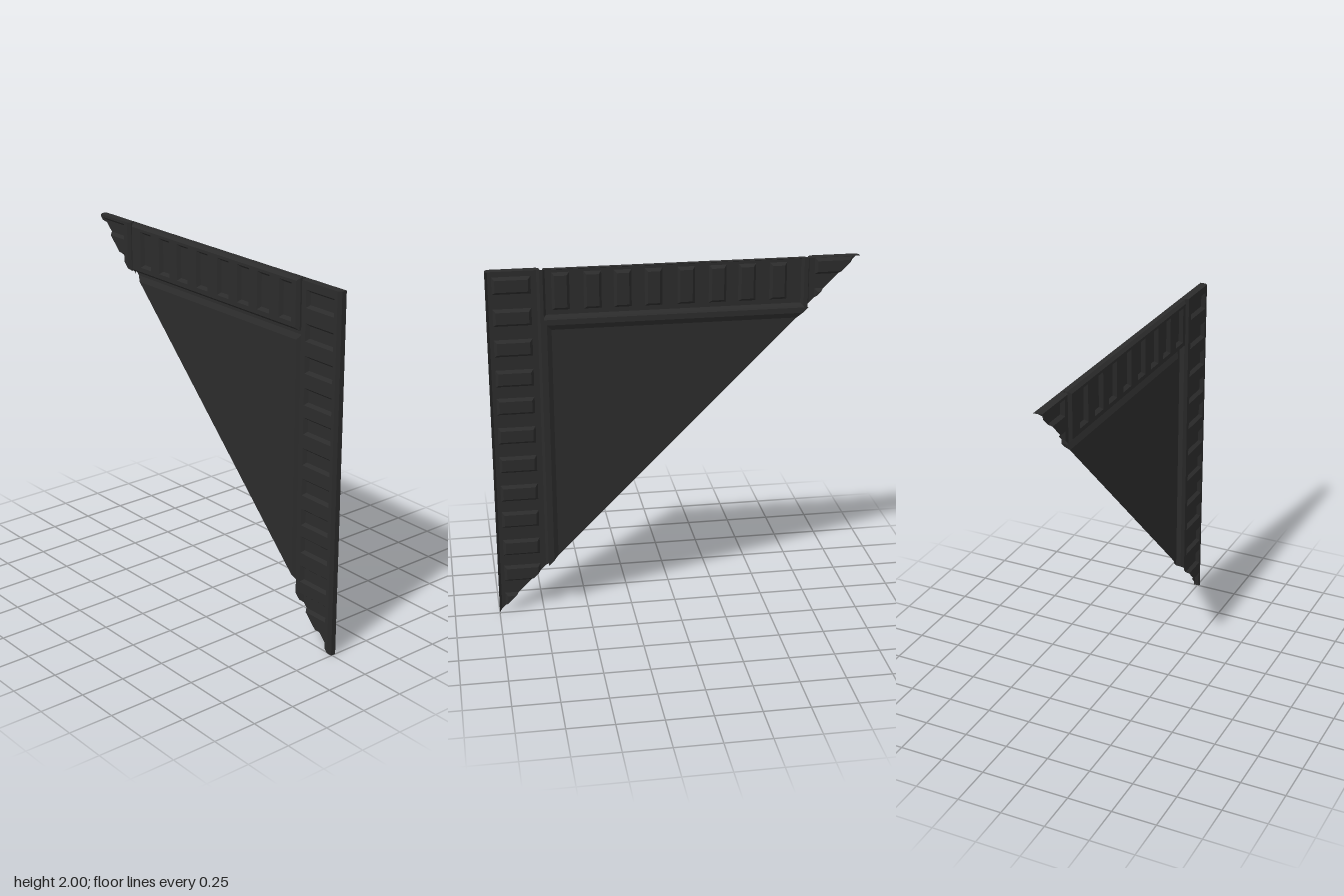
import * as THREE from 'three';

const BACK = -0.023, FRONT = 0.023, SHOULDER = 0.006, RECESS = 0.004, BEVEL = 0.015;

// Trim a polygon to the upper-right side of the diagonal x + y = 1
function clip(poly) {
  const out = [];
  poly.forEach((a, i) => {
    const b = poly[(i + 1) % poly.length];
    const da = a[0] + a[1] - 1, db = b[0] + b[1] - 1;
    if (da >= 0) out.push(a);
    if ((da > 0 && db < 0) || (da < 0 && db > 0)) {
      const t = da / (da - db);
      out.push(a.map((v, k) => v + (b[k] - v) * t));
    }
  });
  return out;
}

// Collects trimmed polygons into one flat-faced mesh
class Sheet {
  constructor() { this.positions = []; }
  face(...poly) {
    const p = clip(poly);
    for (let i = 1; i < p.length - 1; i++) this.positions.push(...p[0], ...p[i], ...p[i + 1]);
  }
  flat([x0, x1, y0, y1], z) {
    this.face([x0, y0, z], [x1, y0, z], [x1, y1, z], [x0, y1, z]);
  }
  // Four sloping sides joining one rectangle to another
  ring(outer, zo, inner, zi) {
    const corners = ([x0, x1, y0, y1], z) => [[x0, y0, z], [x1, y0, z], [x1, y1, z], [x0, y1, z]];
    const o = corners(outer, zo), n = corners(inner, zi);
    for (let i = 0; i < 4; i++) {
      const j = (i + 1) % 4;
      this.face(o[i], o[j], n[j], n[i]);
    }
  }
  // Sunken rectangular coffer with bevelled sides
  coffer(rect) {
    const inner = inset(rect, BEVEL);
    this.ring(rect, FRONT, inner, RECESS);
    this.flat(inner, RECESS);
  }
  // Flat face with a row of coffers sunk into it
  cofferedFace([x0, x1, y0, y1], xSpans, ySpans) {
    const xs = [x0, ...xSpans.flat(), x1], ys = [y0, ...ySpans.flat(), y1];
    for (let i = 0; i < xs.length - 1; i++) {
      for (let j = 0; j < ys.length - 1; j++) {
        const cell = [xs[i], xs[i + 1], ys[j], ys[j + 1]];
        if (i % 2 && j % 2) this.coffer(cell);
        else this.flat(cell, FRONT);
      }
    }
  }
  mesh(name, material) {
    const g = new THREE.BufferGeometry();
    g.setAttribute('position', new THREE.Float32BufferAttribute(this.positions, 3));
    g.computeVertexNormals();
    const m = new THREE.Mesh(g, material);
    m.name = name;
    return m;
  }
}

const inset = ([x0, x1, y0, y1], d) => [x0 + d, x1 - d, y0 + d, y1 - d];
const spans = (centres, size) => centres.map(c => [c - size / 2, c + size / 2]);

// Upright border strip with bevelled long edges and a closed top
function upright(x0, x1, xSpan, ySpans) {
  const s = new Sheet();
  const left = [[x0, BACK], [x0, SHOULDER], [x0 + BEVEL, FRONT]];
  const right = [[x1 - BEVEL, FRONT], [x1, SHOULDER], [x1, BACK]];
  for (const side of [left, right]) {
    for (let i = 0; i < 2; i++) {
      const [a, za] = side[i], [b, zb] = side[i + 1];
      s.face([a, 0, za], [b, 0, zb], [b, 2, zb], [a, 2, za]);
    }
  }
  s.face(...[...left, ...right].map(([x, z]) => [x, 2, z]));
  s.cofferedFace([x0 + BEVEL, x1 - BEVEL, 0, 2], [xSpan], ySpans);
  return s;
}

export function createModel() {
  const group = new THREE.Group();
  const charcoal = new THREE.MeshStandardMaterial({ color: 0x2b2b2b, side: THREE.DoubleSide });
  charcoal.name = 'charcoal';

  // Right-hand border and the small corner remaining on the far side
  const columnRows = spans([0.065, 0.235, 0.395, 0.565, 0.725, 0.895, 1.065, 1.235, 1.395, 1.565, 1.735, 1.91], 0.095);
  group.add(upright(0.715, 1, [0.76, 0.965], columnRows).mesh('sideBorder', charcoal));
  group.add(upright(-1, -0.72, [-0.97, -0.765], spans([1.77, 1.94], 0.09)).mesh('cornerBorder', charcoal));

  // Top border: bevelled bar with upright coffers
  const bar = new Sheet();
  const barRect = [-0.705, 0.7, 1.725, 2];
  const barFace = inset(barRect, BEVEL);
  bar.ring(barRect, BACK, barRect, SHOULDER);
  bar.ring(barRect, SHOULDER, barFace, FRONT);
  bar.cofferedFace(barFace, spans([-0.565, -0.395, -0.235, -0.065, 0.11, 0.275, 0.435, 0.605], 0.095), [[1.765, 1.97]]);
  group.add(bar.mesh('topBorder', charcoal));

  // Grooves between the border pieces
  const groove = new Sheet();
  groove.flat([0.7, 0.715, 1.725, 2], BACK);
  groove.flat([-0.72, -0.705, 1.7, 2], -0.01);
  groove.face([-0.72, 2, BACK], [-0.72, 2, -0.01], [-0.705, 2, -0.01], [-0.705, 2, BACK]);
  group.add(groove.mesh('grooves', charcoal));

  // Raised central field inside a low margin
  const field = new Sheet();
  const margin = [-2, 0.715, -1, 1.725], foot = [-1.9, 0.685, -0.9, 1.695], top = [-1.8, 0.66, -0.8, 1.665];
  field.ring(margin, BACK, foot, BACK);
  field.ring(foot, BACK, top, -0.007);
  field.flat(top, -0.007);
  group.add(field.mesh('centreField', charcoal));

  return group;
}
